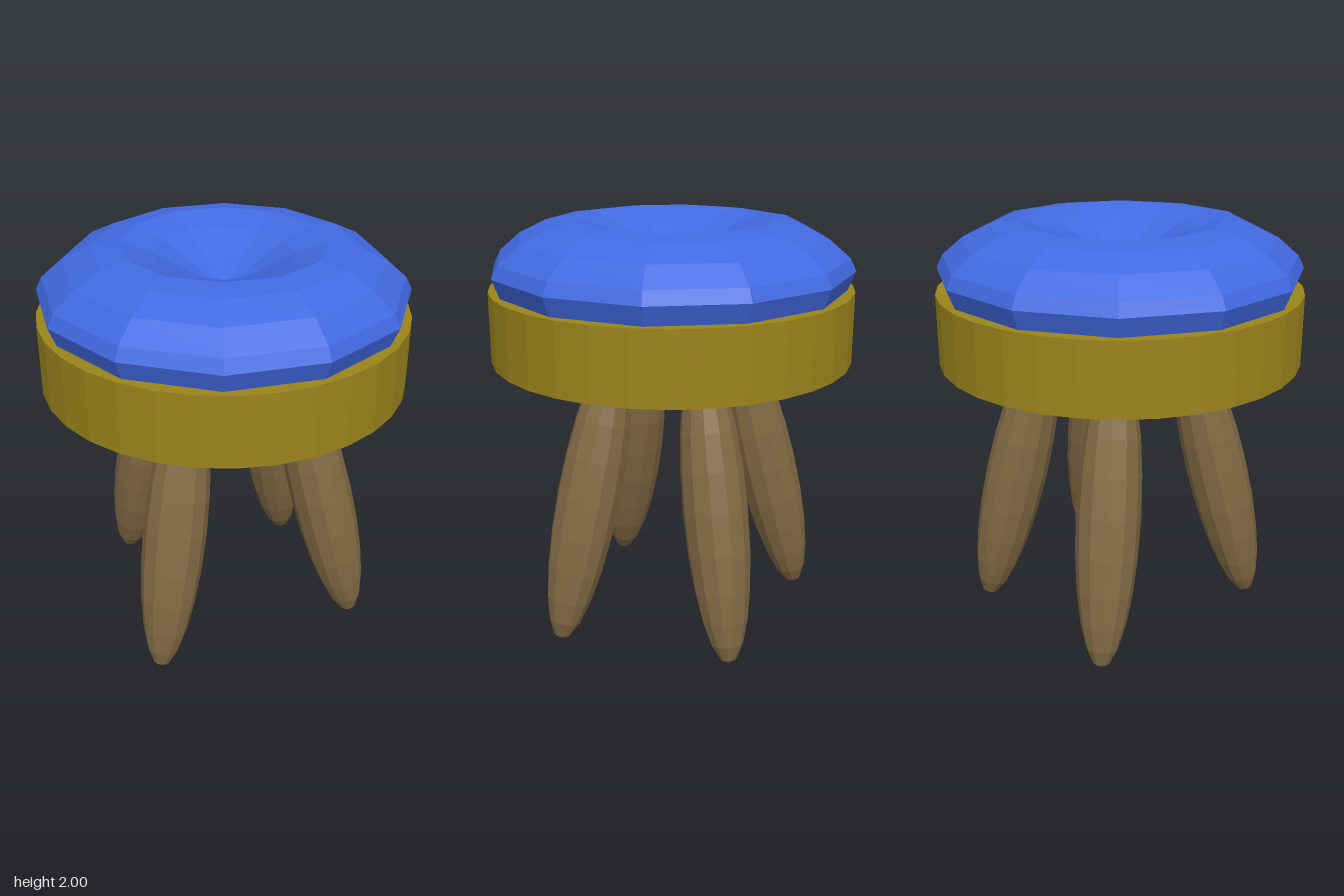
import * as THREE from 'three';

const flat = (color) => new THREE.MeshStandardMaterial({ color, flatShading: true });

export function createModel() {
  const stool = new THREE.Group();
  stool.name = 'stool';
  const blue = flat(0x4169e1), gold = flat(0x9b841c), brown = flat(0x826a44);

  // Round seat base
  const base = new THREE.Mesh(new THREE.CylinderGeometry(0.87, 0.87, 0.34, 32), gold);
  base.name = 'seatBase';
  base.position.y = 1.51;
  stool.add(base);

  // Twelve-sided cushion with a dimple in the middle (profile from bottom to top)
  const profile = [
    [0, 1.67], [0.83, 1.67], [0.87, 1.77], [0.84, 1.83], [0.74, 1.915], [0.61, 1.98],
    [0.48, 2.0], [0.33, 1.95], [0.16, 1.86], [0, 1.79],
  ].map(([r, y]) => new THREE.Vector2(r, y));
  const cushion = new THREE.Mesh(new THREE.LatheGeometry(profile, 12), blue);
  cushion.name = 'cushion';
  stool.add(cushion);

  // Splayed spindle-shaped legs: foot x, z and middle x, z
  const midY = 0.72;
  const legs = [
    ['frontLeg', 0.03, 0.675, 0.018, 0.495],
    ['backLeg', -0.01, -0.70, -0.007, -0.525],
    ['leftLeg', 0.665, -0.19, 0.485, -0.14],
    ['rightLeg', -0.69, -0.085, -0.51, -0.05],
  ];
  const legGeometry = new THREE.SphereGeometry(1, 12, 12).scale(0.153, 0.743, 0.153);
  const up = new THREE.Vector3(0, 1, 0);
  for (const [name, fx, fz, mx, mz] of legs) {
    const leg = new THREE.Mesh(legGeometry, brown);
    leg.name = name;
    leg.position.set(mx, midY, mz);
    const axis = new THREE.Vector3(mx - fx, midY, mz - fz).normalize();
    leg.quaternion.setFromUnitVectors(up, axis);
    stool.add(leg);
  }
  return stool;
}
